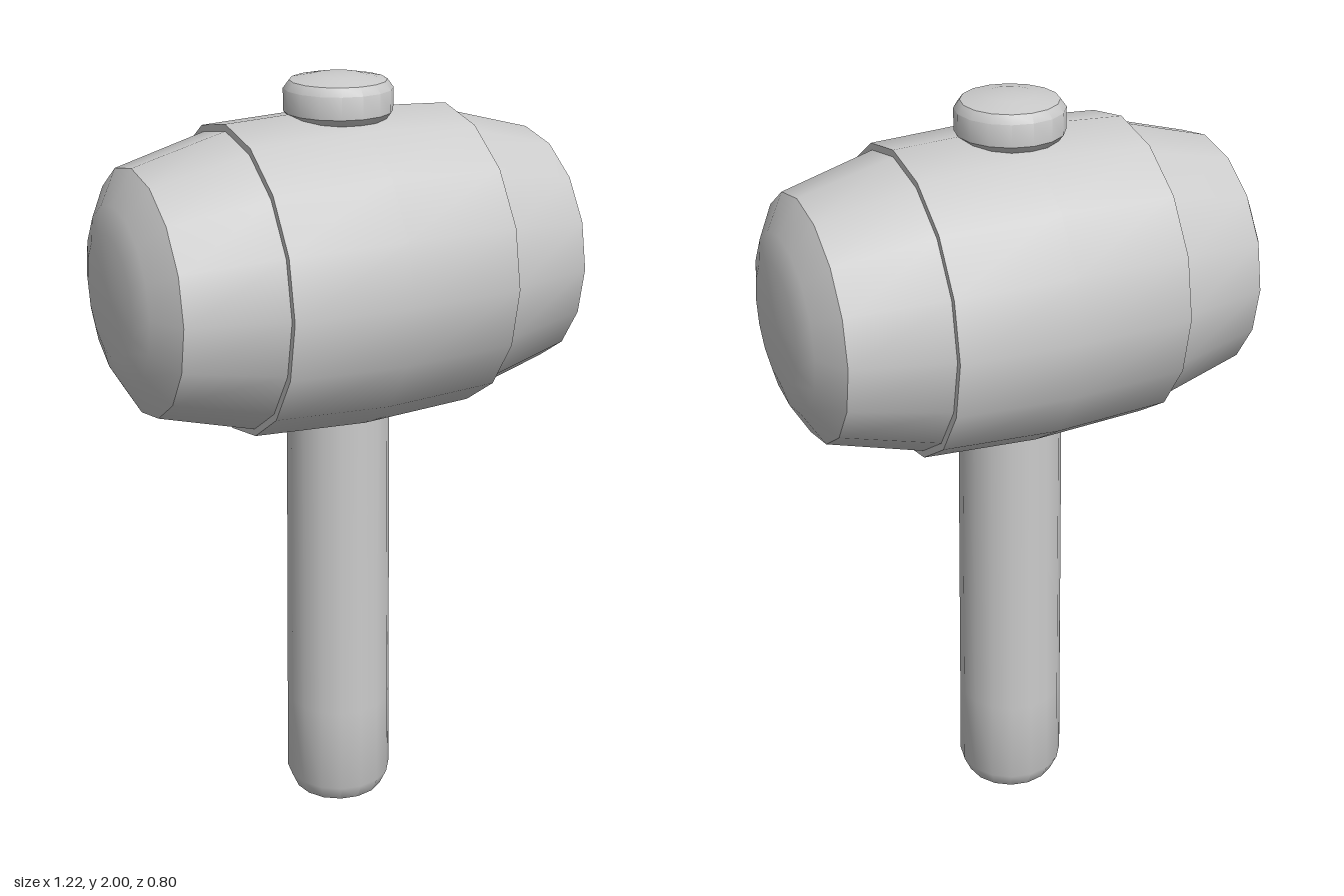
import * as THREE from 'three';
import { toCreasedNormals } from 'three/addons/utils/BufferGeometryUtils.js';

const SIDES = 16;
const HEAD_Y = 1.515;

export function createModel() {
  const group = new THREE.Group();
  const material = new THREE.MeshStandardMaterial({ color: 0xcccccc });

  // Turned part from [radius, height] pairs, listed bottom to top
  function turned(name, profile, crease = 0.65) {
    const points = profile.map(([r, y]) => new THREE.Vector2(r, y));
    const geometry = toCreasedNormals(new THREE.LatheGeometry(points, SIDES), crease);
    const mesh = new THREE.Mesh(geometry, material);
    mesh.name = name;
    group.add(mesh);
    return mesh;
  }

  // Turned part laid along x, mirrored from its right half
  function headPart(name, half) {
    const mirrored = half.map(([r, x]) => [r, -x]).reverse();
    const mesh = turned(name, [...mirrored, ...half]);
    mesh.rotation.z = -Math.PI / 2;
    mesh.position.y = HEAD_Y;
  }

  // Barrel-shaped head with bevelled striking faces
  headPart('headBarrel', [
    [0.372, 0.29], [0.37, 0.3], [0.305, 0.54], [0.22, 0.59], [0.155, 0.61], [0, 0.61],
  ]);

  // Raised band around the middle, bulging slightly at its centre
  const band = turned('headBand', [
    [0.36, -0.3], [0.387, -0.3], [0.402, 0], [0.387, 0.3], [0.36, 0.3],
  ]);
  band.rotation.z = -Math.PI / 2;
  band.position.y = HEAD_Y;

  // Handle, rounded at the foot and tapering a little upwards
  turned('handle', [
    [0, 0], [0.09, 0.003], [0.123, 0.022], [0.142, 0.065], [0.14, 0.3], [0.133, 1.2], [0.13, 1.85],
  ]);

  // Handle end standing out above the head
  turned('handleKnob', [
    [0, 1.85], [0.115, 1.885], [0.135, 1.91], [0.135, 1.965], [0.12, 1.985], [0.06, 1.997], [0, 2],
  ]);

  return group;
}
